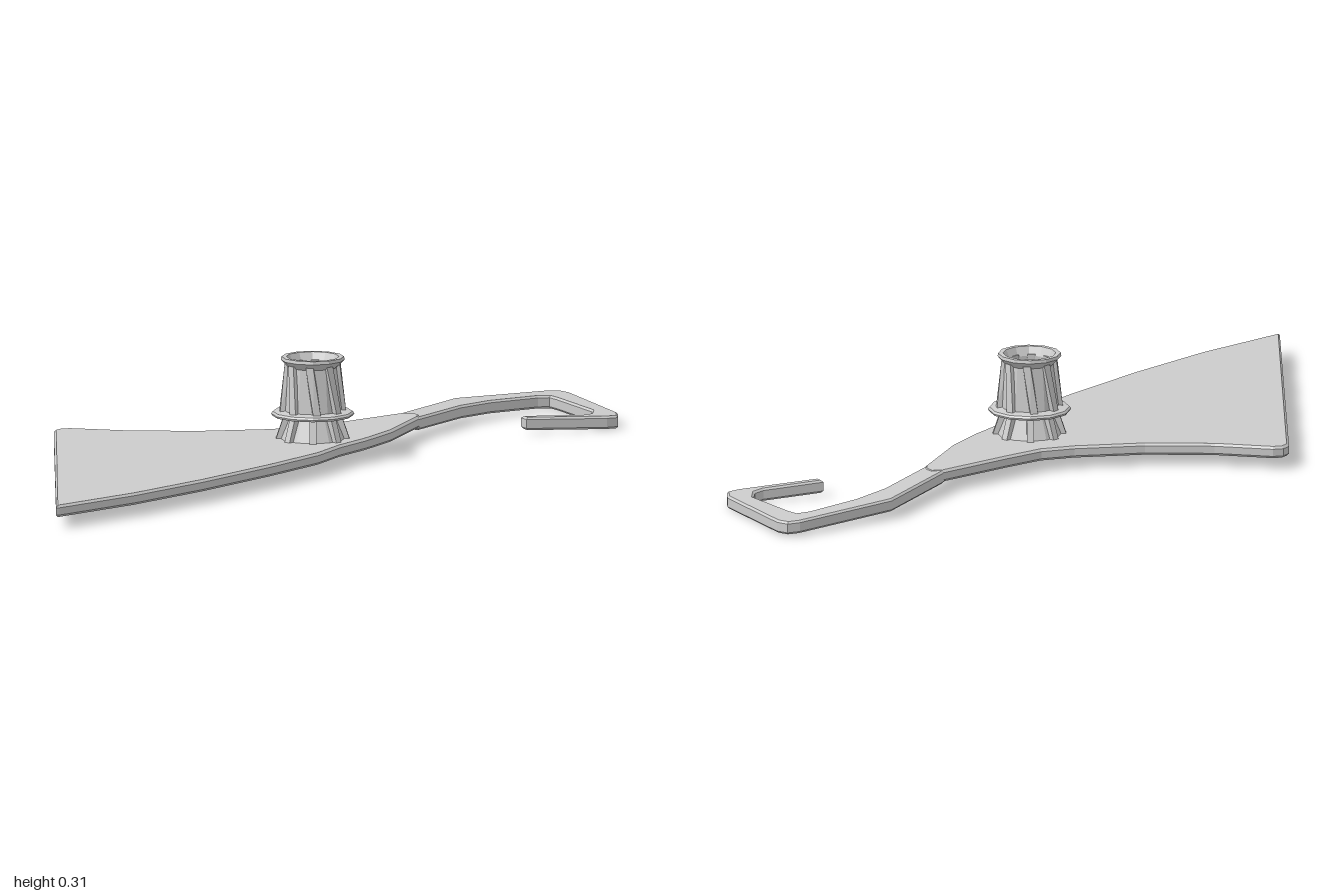
import * as THREE from 'three';

const material = new THREE.MeshStandardMaterial({ color: 0xcccccc, flatShading: true, side: THREE.DoubleSide });
const HUB = { x: -0.07, z: -0.107 };

function addMesh(parent, name, geometry) {
  const mesh = new THREE.Mesh(geometry, material);
  mesh.name = name;
  parent.add(mesh);
  return mesh;
}

// Flat slab with chamfered rims: outline given as [x, z], resting on y = 0
function slab(outline, height, bevel, holeRadius) {
  const shape = new THREE.Shape(outline.map(([x, z]) => new THREE.Vector2(x, -z)));
  if (holeRadius) {
    const hole = new THREE.Path();
    hole.absarc(HUB.x, -HUB.z, holeRadius, 0, Math.PI * 2, true);
    shape.holes.push(hole);
  }
  const geometry = new THREE.ExtrudeGeometry(shape, {
    depth: height - 2 * bevel, bevelEnabled: true, bevelSegments: 1,
    bevelSize: bevel, bevelThickness: bevel, bevelOffset: -bevel, curveSegments: 6,
  });
  return geometry.rotateX(-Math.PI / 2).translate(0, bevel, 0);
}

// Ring of slanted ribs leaning along a cone; r0, r1 are the outer radii at y0, y1
function addRibs(parent, name, count, y0, r0, y1, r1, depth, width, twist) {
  for (let i = 0; i < count; i++) {
    const geometry = new THREE.BoxGeometry(depth, 1, width);
    const p = geometry.attributes.position;
    for (let k = 0; k < p.count; k++) {
      const t = p.getY(k) + 0.5;
      const r = THREE.MathUtils.lerp(r0, r1, t) - depth / 2 + p.getX(k);
      const a = (i / count) * Math.PI * 2 + twist * (t - 0.5);
      const s = p.getZ(k);
      p.setXYZ(k, r * Math.cos(a) - s * Math.sin(a), THREE.MathUtils.lerp(y0, y1, t), r * Math.sin(a) + s * Math.cos(a));
    }
    geometry.computeVertexNormals();
    addMesh(parent, name, geometry);
  }
}

export function createModel() {
  const model = new THREE.Group();
  model.name = 'bladeWithHook';

  // Curved triangular blade
  const blade = addMesh(model, 'blade', slab([
    [-0.82, 0.985], [-0.814, -0.25], [-0.797, -0.275], [-0.767, -0.282], [-0.6, -0.243],
    [-0.4, -0.233], [-0.196, -0.26], [-0.1, -0.29], [0, -0.365], [0.19, -0.518],
    [0.225, -0.522], [0.243, -0.49], [0.24, -0.455], [0.159, -0.233], [0.085, -0.1],
    [0.01, 0.01], [-0.053, 0.135], [-0.196, 0.328], [-0.39, 0.566], [-0.59, 0.783], [-0.81, 0.98],
  ], 0.035, 0.007, 0.072));
  blade.position.y = 0.032;

  // Angular hook arm, sloping gently down towards its outer end
  const armGeometry = slab([
    [0.17, -0.47], [0.19, -0.524], [0.344, -0.8], [0.402, -0.841], [0.614, -0.99], [0.65, -1.0],
    [0.68, -0.973], [0.815, -0.677], [0.815, -0.624], [0.783, -0.603], [0.55, -0.528], [0.535, -0.555],
    [0.709, -0.614], [0.735, -0.642], [0.74, -0.698], [0.64, -0.873], [0.62, -0.9], [0.587, -0.889],
    [0.45, -0.778], [0.365, -0.677], [0.24, -0.455],
  ], 0.038, 0.006);
  const p = armGeometry.attributes.position;
  for (let i = 0; i < p.count; i++) p.setY(i, p.getY(i) + 0.026 - 0.045 * (p.getX(i) - 0.24));
  armGeometry.computeVertexNormals();
  addMesh(model, 'hookArm', armGeometry);

  // Hollow hub: foot, flared base, flange, tapered barrel and top lip
  const hub = new THREE.Group();
  hub.name = 'hub';
  hub.position.set(HUB.x, 0, HUB.z);
  model.add(hub);
  const profile = [
    [0.066, 0.022], [0.084, 0.022], [0.092, 0.034], [0.094, 0.066], [0.068, 0.13],
    [0.117, 0.134], [0.12, 0.14], [0.115, 0.146], [0.084, 0.15], [0.073, 0.277],
    [0.092, 0.297], [0.09, 0.306], [0.076, 0.306], [0.064, 0.28], [0.066, 0.022],
  ].map(([r, y]) => new THREE.Vector2(r, y));
  addMesh(hub, 'hubBody', new THREE.LatheGeometry(profile, 12));
  addRibs(hub, 'barrelRib', 8, 0.145, 0.096, 0.285, 0.08, 0.02, 0.022, 0.25);
  addRibs(hub, 'baseRib', 8, 0.06, 0.108, 0.135, 0.083, 0.022, 0.02, 0);
  return model;
}
